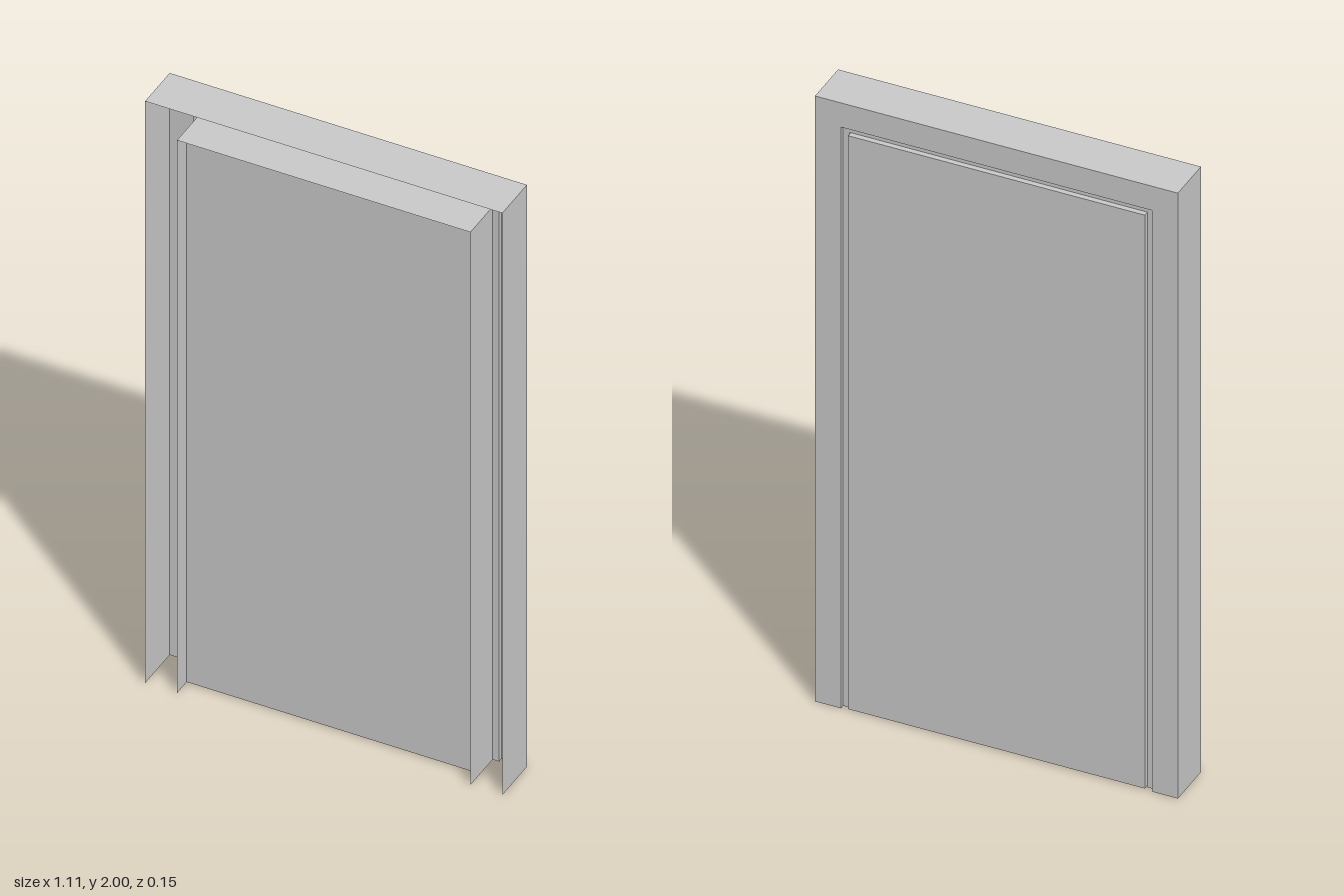
import * as THREE from 'three';

const DEPTH = 0.073; // half the frame depth
const material = new THREE.MeshStandardMaterial({ color: 0xcccccc, side: THREE.DoubleSide });

// Folded sheet section, from the outer front edge to the inner front edge:
// [half width, height, z]
const section = [
  [0.554, 2.0, DEPTH],
  [0.554, 2.0, -DEPTH],
  [0.475, 1.92, -DEPTH],
  [0.475, 1.92, -0.059],
  [0.455, 1.9, -0.059],
  [0.455, 1.9, DEPTH],
];

// Carries the section up one side, across the head and down the other, mitred at the corners
function frameGeometry() {
  const stations = section.map(([w, h, z]) => [[w, 0, z], [w, h, z], [-w, h, z], [-w, 0, z]]);
  const positions = [];
  for (let i = 0; i < stations.length - 1; i++) {
    for (let j = 0; j < 3; j++) {
      const a = stations[i][j], b = stations[i + 1][j];
      const c = stations[i + 1][j + 1], d = stations[i][j + 1];
      positions.push(...a, ...b, ...c, ...a, ...c, ...d);
    }
  }
  const geometry = new THREE.BufferGeometry();
  geometry.setAttribute('position', new THREE.Float32BufferAttribute(positions, 3));
  geometry.computeVertexNormals();
  return geometry;
}

export function createModel() {
  const model = new THREE.Group();
  model.name = 'door';

  // Sheet frame, open at the front and bottom
  const frame = new THREE.Mesh(frameGeometry(), material);
  frame.name = 'doorFrame';
  model.add(frame);

  // Solid leaf, flush with the back of the frame
  const bottom = 0.004, top = 1.898, front = 0.02;
  const leaf = new THREE.Mesh(
    new THREE.BoxGeometry(0.906, top - bottom, front + DEPTH),
    material
  );
  leaf.name = 'doorLeaf';
  leaf.position.set(0, (top + bottom) / 2, (front - DEPTH) / 2);
  model.add(leaf);

  return model;
}
